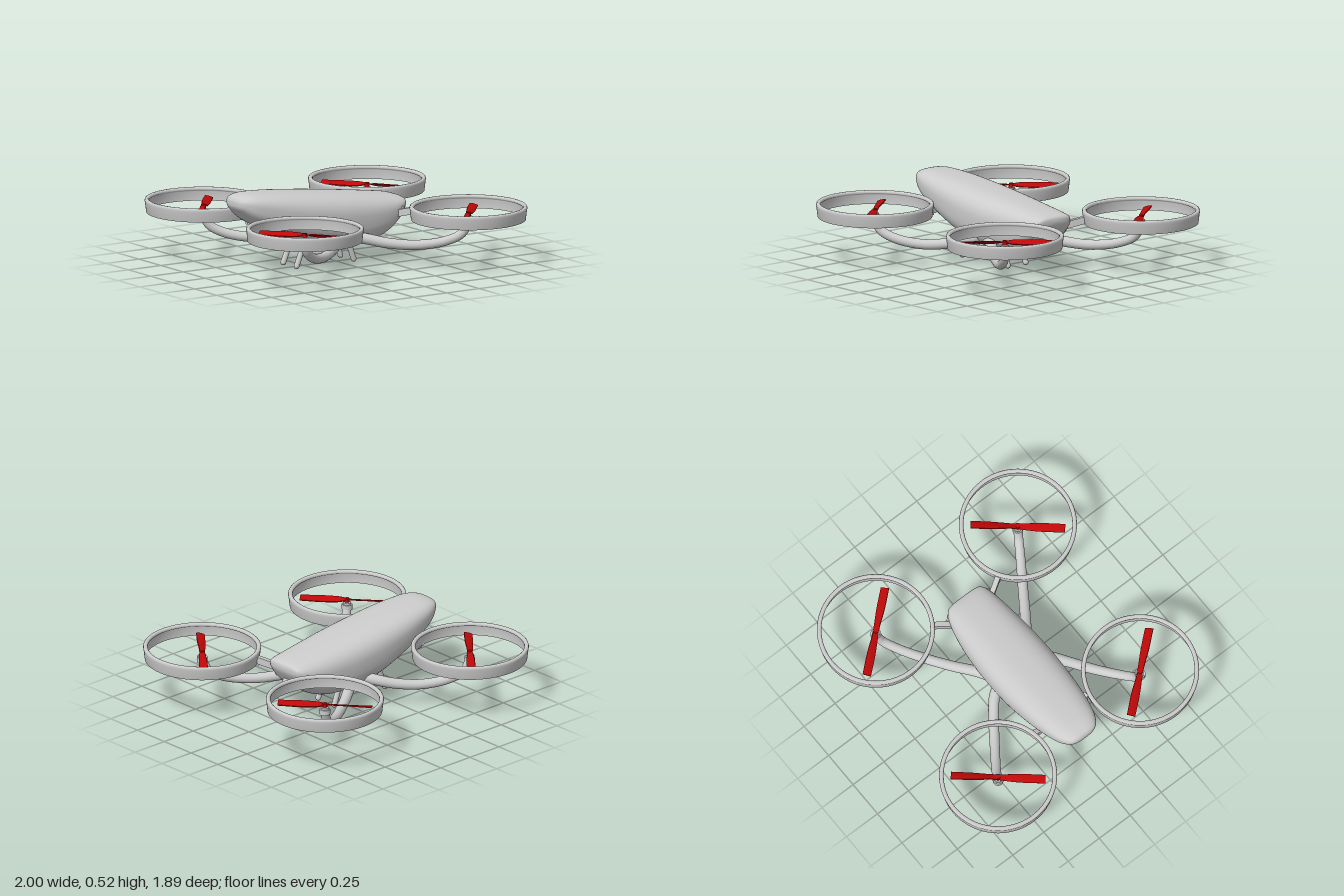
import * as THREE from 'three';

const grey = new THREE.MeshStandardMaterial({ color: 0xcccccc, side: THREE.DoubleSide });
const red = new THREE.MeshStandardMaterial({ color: 0xc00808, side: THREE.DoubleSide });
const V = (x, y, z) => new THREE.Vector3(x, y, z);

function add(parent, name, geo, mat = grey, pos) {
  const m = new THREE.Mesh(geo, mat);
  m.name = name;
  if (pos) m.position.copy(pos);
  parent.add(m);
  return m;
}

// Skin a closed tube over rings of points, all with the same count
function skin(rings) {
  const n = rings[0].length, idx = [];
  for (let i = 0; i < rings.length - 1; i++) {
    for (let j = 0; j < n; j++) {
      const k = (j + 1) % n, a = i * n + j, b = a + n, c = i * n + k, d = c + n;
      idx.push(a, b, c, b, d, c);
    }
  }
  const g = new THREE.BufferGeometry().setFromPoints(rings.flat());
  g.setIndex(idx);
  g.computeVertexNormals();
  return g;
}

// Hull cross-sections: x, top, bottom, half width
function hullGeometry() {
  const rows = [
    [-0.79, 0.455, 0.455, 0], [-0.787, 0.48, 0.435, 0.06], [-0.765, 0.502, 0.405, 0.105],
    [-0.70, 0.516, 0.345, 0.145], [-0.60, 0.515, 0.288, 0.172], [-0.45, 0.505, 0.218, 0.197],
    [-0.25, 0.485, 0.145, 0.214], [-0.05, 0.462, 0.111, 0.216], [0.10, 0.443, 0.107, 0.208],
    [0.22, 0.427, 0.126, 0.197], [0.32, 0.413, 0.168, 0.182], [0.39, 0.402, 0.226, 0.165],
    [0.435, 0.391, 0.288, 0.142], [0.456, 0.378, 0.325, 0.105], [0.462, 0.352, 0.352, 0],
  ];
  const curve = k => new THREE.SplineCurve(rows.map(r => new THREE.Vector2(r[0], r[k])));
  const top = curve(1), bottom = curve(2), width = curve(3);
  const rings = [], steps = 84, sides = 56, soft = v => Math.sign(v) * Math.abs(v) ** 0.7;
  for (let i = 0; i <= steps; i++) {
    const t = i / steps, p = top.getPoint(t), lo = bottom.getPoint(t).y, w = width.getPoint(t).y;
    const mid = (p.y + lo) / 2, h = (p.y - lo) / 2;
    rings.push(Array.from({ length: sides }, (_, j) => {
      const a = j / sides * Math.PI * 2, s = soft(Math.sin(a));
      return V(p.x, mid + h * s, w * soft(Math.cos(a)) * (1 + 0.04 * s * (1 - s)));
    }));
  }
  return skin(rings);
}

// Bar with a box section between two points
function bar(parent, name, a, b, w, h) {
  const m = add(parent, name, new THREE.BoxGeometry(w, h, a.distanceTo(b)), grey, a.clone().add(b).multiplyScalar(0.5));
  m.lookAt(b);
}

// Round-ended rod between two points
function rod(parent, name, a, b, r) {
  const d = b.clone().sub(a);
  const m = add(parent, name, new THREE.CapsuleGeometry(r, d.length(), 8, 20), grey, a.clone().addScaledVector(d, 0.5));
  m.quaternion.setFromUnitVectors(V(0, 1, 0), d.normalize());
}

// Two-bladed propeller: a slim box, flared and twisted along its length
function bladeGeometry(hand) {
  const g = new THREE.BoxGeometry(0.6, 0.007, 0.055, 32, 1, 4), p = g.attributes.position;
  for (let i = 0; i < p.count; i++) {
    const x = p.getX(i), t = Math.abs(x) / 0.3;
    const pitch = hand * Math.sign(x) * Math.min(1, t * 6) * (0.55 - 0.3 * t);
    const z = p.getZ(i) * (0.6 + 0.5 * Math.sin(Math.min(1, t * 1.5) * Math.PI / 2) - 0.12 * t);
    const y = p.getY(i) + 0.004 * (1 - (z / 0.03) ** 2);
    p.setY(i, y * Math.cos(pitch) - z * Math.sin(pitch));
    p.setZ(i, y * Math.sin(pitch) + z * Math.cos(pitch));
  }
  g.computeVertexNormals();
  return g;
}

// Guard hoop: thin, slightly flared wall with a thick lip
function guardGeometry() {
  const pts = [[0.357, 0.295], [0.364, 0.295], [0.371, 0.355], [0.374, 0.368], [0.372, 0.378], [0.366, 0.383],
    [0.354, 0.383], [0.347, 0.378], [0.345, 0.37], [0.347, 0.363], [0.359, 0.355], [0.357, 0.295]];
  return new THREE.LatheGeometry(pts.map(q => new THREE.Vector2(...q)), 96);
}

// One corner: guard, propeller, motor, arm and brace
function rotor(sx, sz) {
  const g = new THREE.Group(), cx = sx * 0.625, cz = sz * 0.573;
  g.name = (sx > 0 ? 'left' : 'right') + (sz > 0 ? 'Front' : 'Back') + 'Rotor';
  add(g, 'guard', guardGeometry(), grey, V(cx, 0, cz));

  const prop = add(g, 'propeller', bladeGeometry(sx * sz), red, V(cx, 0.33, cz));
  prop.rotation.y = Math.atan2(-sz * 0.455, -sx * 0.39);
  add(g, 'propellerHub', new THREE.CylinderGeometry(0.014, 0.016, 0.026, 24), red, V(cx, 0.33, cz));
  add(g, 'motorShaft', new THREE.CylinderGeometry(0.008, 0.008, 0.06, 16), grey, V(cx, 0.312, cz));
  add(g, 'motor', new THREE.CylinderGeometry(0.034, 0.034, 0.035, 32), grey, V(cx, 0.285, cz));
  add(g, 'motorCollar', new THREE.CylinderGeometry(0.026, 0.026, 0.014, 32), grey, V(cx, 0.307, cz));

  const path = sx > 0
    ? [[-0.02, 0.18, 0.15], [0.07, 0.172, 0.205], [0.2, 0.142, 0.295], [0.35, 0.13, 0.395], [0.5, 0.155, 0.495], [0.59, 0.205, 0.552], [0.625, 0.285, 0.573]]
    : [[-0.09, 0.19, 0.14], [-0.135, 0.172, 0.215], [-0.24, 0.142, 0.305], [-0.37, 0.13, 0.4], [-0.51, 0.158, 0.5], [-0.595, 0.21, 0.555], [-0.625, 0.285, 0.573]];
  const curve = new THREE.CatmullRomCurve3(path.map(([x, y, z]) => V(x, y, sz * z)));
  const arm = new THREE.TubeGeometry(curve, 56, 0.03, 20);
  // thicken the arm towards the hull
  const p = arm.attributes.position;
  for (let i = 0; i < p.count; i++) {
    const t = Math.floor(i / 21) / 56, c = curve.getPointAt(t), v = V(0, 0, 0).fromBufferAttribute(p, i);
    v.sub(c).multiplyScalar(1.2 - 0.25 * t).add(c);
    p.setXYZ(i, v.x, v.y, v.z);
  }
  add(g, 'arm', arm);
  add(g, 'armRoot', new THREE.SphereGeometry(0.036, 24, 16), grey, curve.getPoint(0));

  // brace from hull to guard
  if (sx > 0) {
    bar(g, 'brace', V(0.35, 0.285, sz * 0.12), V(0.435, 0.325, sz * 0.262), 0.034, 0.045);
    bar(g, 'braceBracket', V(0.385, 0.255, sz * 0.125), V(0.415, 0.335, sz * 0.155), 0.045, 0.018);
  } else {
    bar(g, 'brace', V(-0.53, 0.29, sz * 0.15), V(-0.53, 0.315, sz * 0.222), 0.034, 0.04);
    bar(g, 'braceBracket', V(-0.53, 0.265, sz * 0.19), V(-0.53, 0.32, sz * 0.2), 0.05, 0.018);
  }
  return g;
}

export function createModel() {
  const model = new THREE.Group();
  model.name = 'quadcopter';
  add(model, 'hull', hullGeometry());

  for (const sz of [1, -1]) {
    for (const sx of [1, -1]) model.add(rotor(sx, sz));
    rod(model, 'landingLeg', V(-0.29, 0.17, sz * 0.075), V(-0.352, 0.018, sz * 0.075), 0.018);
    rod(model, 'landingLeg', V(0.04, 0.14, sz * 0.075), V(0.084, 0.018, sz * 0.075), 0.018);
  }

  // camera under the nose
  const camera = new THREE.Group();
  camera.name = 'camera';
  camera.position.set(0.395, 0.24, 0);
  camera.rotation.z = -0.5;
  add(camera, 'cameraBall', new THREE.SphereGeometry(0.044, 32, 20)).scale.set(1, 0.95, 1.25);
  add(camera, 'lensBarrel', new THREE.CylinderGeometry(0.02, 0.022, 0.03, 28), grey, V(0.04, 0, 0)).rotation.z = -Math.PI / 2;
  add(camera, 'lensFin', new THREE.BoxGeometry(0.03, 0.055, 0.012), grey, V(0.035, 0.008, 0));
  model.add(camera);
  return model;
}
